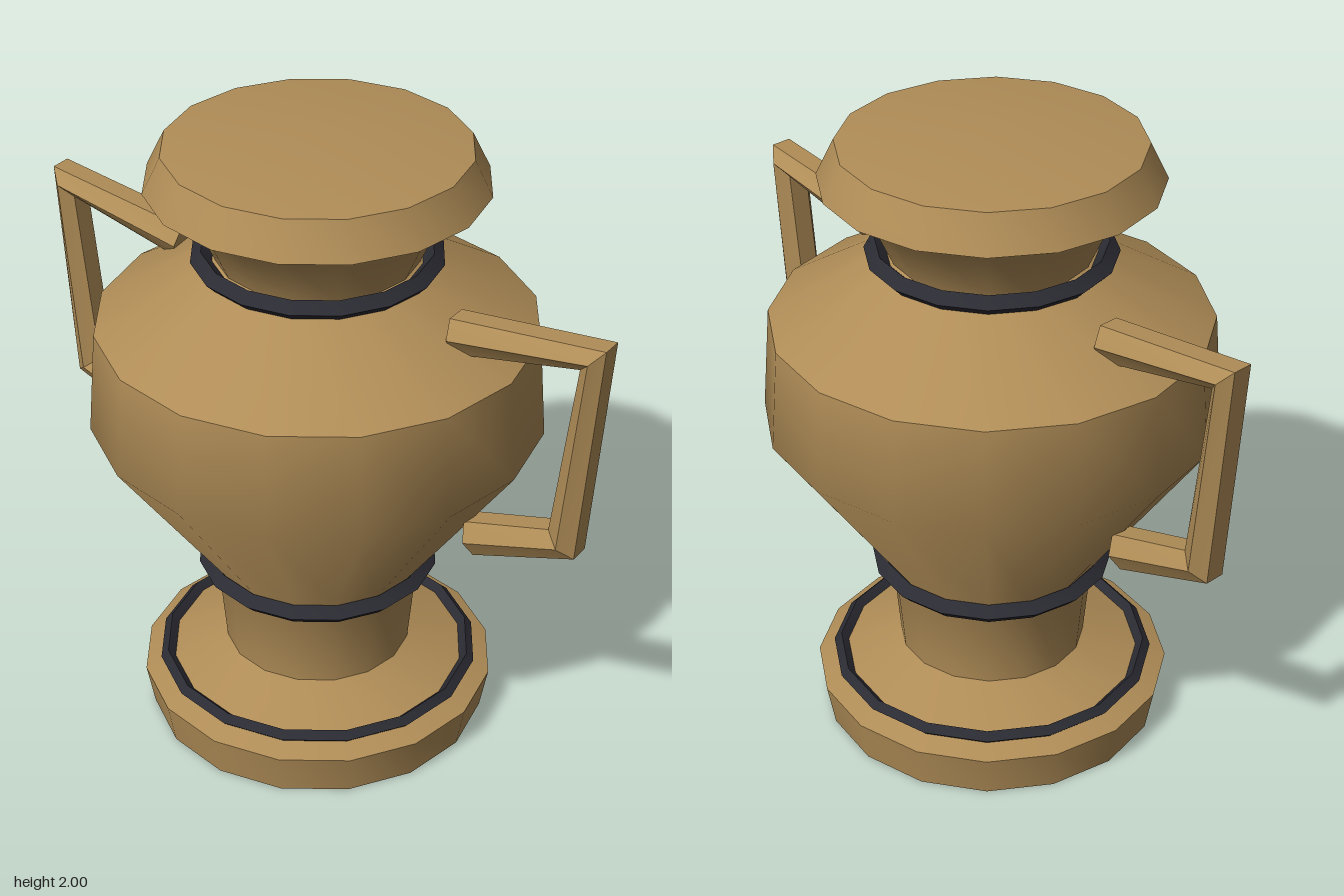
import * as THREE from 'three';
import { toCreasedNormals } from 'three/addons/utils/BufferGeometryUtils.js';

const SIDES = 16;

export function createModel() {
  const bronze = new THREE.MeshStandardMaterial({ color: 0xb08d57 });
  bronze.name = 'bronze';
  const darkBand = new THREE.MeshStandardMaterial({ color: 0x2b2b33 });
  darkBand.name = 'dark band';

  const model = new THREE.Group();
  model.name = 'urn';

  const add = (name, geometry, material) => {
    const mesh = new THREE.Mesh(geometry, material);
    mesh.name = name;
    model.add(mesh);
    return mesh;
  };

  // Turned shape, smooth around and sharp at strong profile corners
  const turned = (profile, crease) => toCreasedNormals(
    new THREE.LatheGeometry(profile.map(([r, y]) => new THREE.Vector2(r, y)), SIDES), crease);

  // Foot, stem, belly, neck and lid in one profile
  add('vessel', turned([
    [0, 0], [0.535, 0], [0.56, 0.137], [0.293, 0.24],
    [0.32, 0.54], [0.692, 1.07], [0.667, 1.39], [0.303, 1.61],
    [0.375, 1.77], [0.507, 1.84], [0.453, 1.95], [0, 2],
  ], 0.8), bronze);

  // Diamond-section bands
  const bands = [['footBand', 0.487, 0.175, 0.023], ['stemBand', 0.344, 0.539, 0.032], ['neckBand', 0.344, 1.606, 0.032]];
  for (const [name, r, y, t] of bands) {
    add(name, turned([[r, y - t], [r + t, y], [r, y + t], [r - t, y], [r, y - t]], 0.8), darkBand);
  }

  // Hexagonal handles
  const handle = handleGeometry([[0.485, 1.5], [0.936, 1.575], [0.876, 0.935], [0.566, 0.83]], 0.065);
  add('leftHandle', handle, bronze);
  add('rightHandle', handle, bronze).rotation.y = Math.PI;

  return model;
}

// Hexagonal bar swept along a bent path in the xy plane, with closed ends
function handleGeometry(path, radius) {
  const points = path.map(([x, y]) => new THREE.Vector2(x, y));
  const last = points.length - 1;
  const direction = (i) => points[i + 1].clone().sub(points[i]).normalize();
  const positions = [];
  const indices = [];

  points.forEach((p, i) => {
    const t = direction(Math.min(i, last - 1)).add(direction(Math.max(i - 1, 0))).normalize();
    for (let j = 0; j < 6; j++) {
      const a = Math.PI / 6 + j * Math.PI / 3;
      const across = Math.cos(a) * radius;
      positions.push(p.x - t.y * across, p.y + t.x * across, Math.sin(a) * radius);
    }
  });

  for (let i = 0; i < last; i++) {
    for (let j = 0; j < 6; j++) {
      const a = i * 6 + j;
      const b = i * 6 + (j + 1) % 6;
      indices.push(a, b, b + 6, a, b + 6, a + 6);
    }
  }
  for (let j = 1; j < 5; j++) {
    indices.push(0, j + 1, j, last * 6, last * 6 + j, last * 6 + j + 1);
  }

  const geometry = new THREE.BufferGeometry();
  geometry.setAttribute('position', new THREE.Float32BufferAttribute(positions, 3));
  geometry.setIndex(indices);
  return toCreasedNormals(geometry, 0.5);
}
